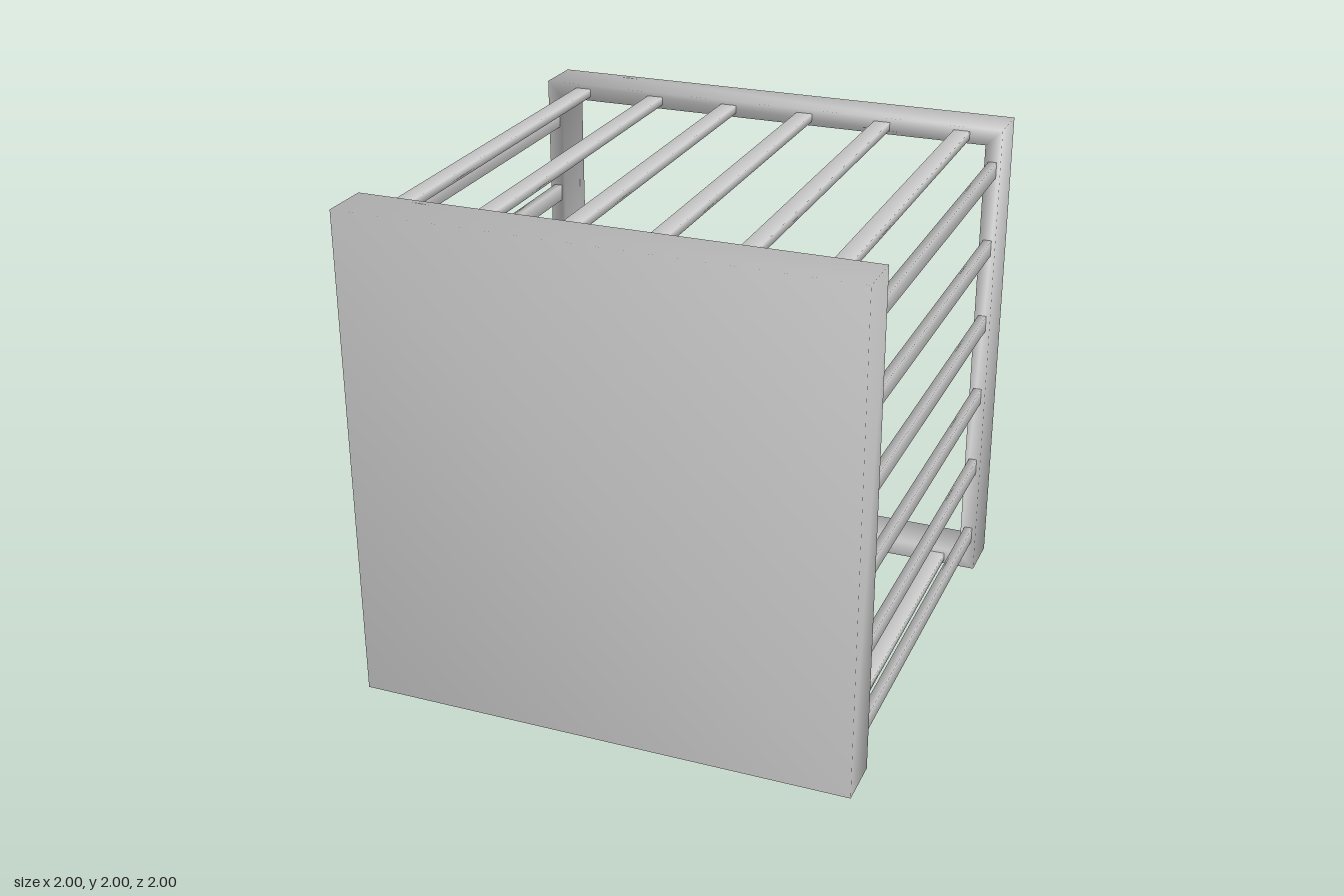
import * as THREE from 'three';
import { mergeVertices } from 'three/addons/utils/BufferGeometryUtils.js';

const RIM = 1 / 15;        // width of the frame rim
const DEPTH = 0.2;         // depth of each end frame
const BAR_LENGTH = 1.6;
const BARS_PER_SIDE = 6;

// Lofts square rings given as [half width, z]; closed joins last to first, otherwise both ends are capped.
function squareLoft(rings, closed) {
  const corners = [[1, -1], [1, 1], [-1, 1], [-1, -1]];
  const position = [], index = [];
  for (const [h, z] of rings) for (const [x, y] of corners) position.push(x * h, y * h, z);
  const n = rings.length;
  for (let i = 0; i < (closed ? n : n - 1); i++) {
    const a = i * 4, b = ((i + 1) % n) * 4;
    for (let j = 0; j < 4; j++) {
      const k = (j + 1) % 4;
      index.push(a + j, b + j, b + k, a + j, b + k, a + k);
    }
  }
  if (!closed) {
    const e = (n - 1) * 4;
    index.push(0, 1, 2, 0, 2, 3, e, e + 2, e + 1, e, e + 3, e + 2);
  }
  const geometry = new THREE.BufferGeometry();
  geometry.setAttribute('position', new THREE.Float32BufferAttribute(position, 3));
  geometry.setIndex(index);
  geometry.computeVertexNormals();
  return geometry;
}

// Box with shared corners, so the shading runs softly round the edges
function softBox(w, h, d) {
  const box = new THREE.BoxGeometry(w, h, d);
  box.deleteAttribute('normal');
  box.deleteAttribute('uv');
  const geometry = mergeVertices(box);
  geometry.computeVertexNormals();
  return geometry;
}

export function createModel() {
  const model = new THREE.Group();
  model.name = 'barredCrate';
  const material = new THREE.MeshStandardMaterial({ color: 0xcccccc });
  const add = (parent, name, geometry) => {
    const mesh = new THREE.Mesh(geometry, material);
    mesh.name = name;
    parent.add(mesh);
    return mesh;
  };

  const inner = 1 - RIM, zIn = 1 - DEPTH;

  // Solid front, hollowed from behind to leave a raised rim
  add(model, 'frontPanel', squareLoft([[1, 1], [1, zIn], [inner, zIn], [inner, 1 - RIM]], false)).position.y = 1;

  // Open back frame
  add(model, 'backFrame', squareLoft([[1, -zIn], [1, -1], [inner, -1], [inner, -zIn]], true)).position.y = 1;

  // Flat bars on all four sides, centred on the rim
  const barGeometry = softBox(RIM, RIM / 2, BAR_LENGTH);
  ['topBars', 'leftBars', 'bottomBars', 'rightBars'].forEach((name, side) => {
    const group = new THREE.Group();
    group.name = name;
    group.position.y = 1;
    group.rotation.z = -side * Math.PI / 2;
    for (let i = 0; i < BARS_PER_SIDE; i++) {
      const x = (2 * i + 1) / BARS_PER_SIDE - 1;
      add(group, 'bar', barGeometry).position.set(x, 1 - RIM / 2, 0);
    }
    model.add(group);
  });

  return model;
}
